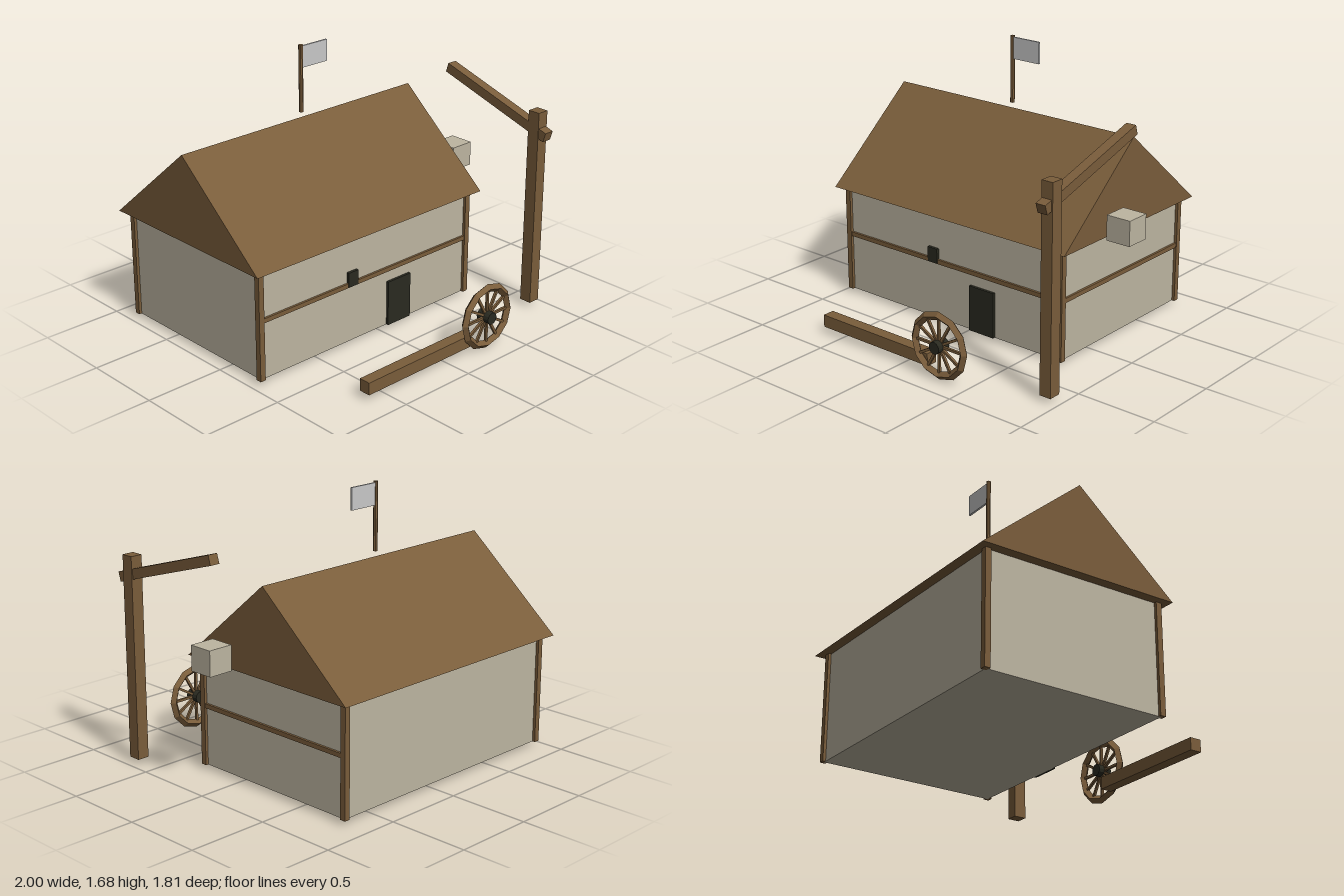
import * as THREE from 'three';

const flat = (color, name) => {
  const m = new THREE.MeshStandardMaterial({ color, flatShading: true });
  m.name = name;
  return m;
};

export function createModel() {
  const wood = flat(0x7a5d3b, 'brown wood');
  const plaster = flat(0xbdb5a1, 'pale plaster');
  const dark = flat(0x2a2a20, 'dark opening');
  const cloth = flat(0xc8c8c8, 'grey cloth');

  const model = new THREE.Group();
  model.name = 'millHouse';

  const add = (name, geometry, material, parent = model) => {
    const mesh = new THREE.Mesh(geometry, material);
    mesh.name = name;
    parent.add(mesh);
    return mesh;
  };
  // Box given by its minimum and maximum on each axis
  const box = (name, material, [x0, x1], [y0, y1], [z0, z1]) => {
    const mesh = add(name, new THREE.BoxGeometry(x1 - x0, y1 - y0, z1 - z0), material);
    mesh.position.set((x0 + x1) / 2, (y0 + y1) / 2, (z0 + z1) / 2);
    return mesh;
  };

  // Walls and corner posts
  const left = 0.712, right = -0.938, front = 0.292, back = -0.842;
  box('walls', plaster, [right, left], [0.03, 0.705], [back, front]);
  for (const x of [right, left]) {
    for (const z of [back, front]) {
      box('cornerPost', wood, [x - 0.018, x + 0.018], [0.03, 0.703], [z - 0.018, z + 0.018]);
    }
  }

  // Rails halfway up the front and the left side
  box('frontRail', wood, [right, left], [0.385, 0.412], [front - 0.014, front + 0.014]);
  box('sideRail', wood, [left - 0.014, left + 0.014], [0.385, 0.412], [back, front]);

  // Door and small window
  box('door', dark, [0.042, 0.226], [0.03, 0.315], [front - 0.01, front + 0.016]);
  box('window', dark, [-0.28, -0.207], [0.388, 0.48], [front - 0.01, front + 0.018]);

  // Gable roof: a triangle in (-z, y) pushed out along x
  const gable = new THREE.Shape([
    new THREE.Vector2(-0.355, 0.702),
    new THREE.Vector2(0.907, 0.702),
    new THREE.Vector2(0.276, 1.237),
  ]);
  const roof = add('roof', new THREE.ExtrudeGeometry(gable, { depth: 1.775, bevelEnabled: false }), wood);
  roof.rotation.y = Math.PI / 2;
  roof.position.x = -1;

  // Flag above the ridge
  const pole = add('flagPole', new THREE.CylinderGeometry(0.0135, 0.0135, 0.41, 8), wood);
  pole.position.set(-0.113, 1.475, -0.276);
  box('flag', cloth, [-0.11, 0.088], [1.54, 1.672], [-0.282, -0.27]);

  // Hoist: mast, sloping arm and hanging block
  box('hoistMast', wood, [0.882, 0.957], [0.03, 1.268], [0.618, 0.696]);
  const arm = add('hoistArm', new THREE.BoxGeometry(0.064, 0.06, 0.827), wood);
  arm.position.set(0.918, 1.248, 0.345);
  arm.rotation.x = Math.atan2(0.244, 0.79);
  box('hoistBlock', plaster, [0.843, 1], [0.728, 0.88], [-0.095, 0.06]);

  // Beam lying in front of the house
  box('groundBeam', wood, [-0.63, 0.195], [0.042, 0.118], [0.768, 0.842]);

  // Spoked wheel
  const wheel = new THREE.Group();
  wheel.name = 'wheel';
  wheel.position.set(0.3, 0.206, 0.858);
  model.add(wheel);
  add('rim', new THREE.TorusGeometry(0.181, 0.025, 4, 12), wood, wheel);
  const hub = add('hub', new THREE.CylinderGeometry(0.037, 0.037, 0.088, 12), dark, wheel);
  hub.rotation.x = Math.PI / 2;
  for (let i = 0; i < 12; i++) {
    const a = (i * Math.PI) / 6;
    const spoke = add('spoke', new THREE.BoxGeometry(0.15, 0.015, 0.015), wood, wheel);
    spoke.position.set(0.1 * Math.cos(a), 0.1 * Math.sin(a), 0);
    spoke.rotation.z = a;
  }

  return model;
}
